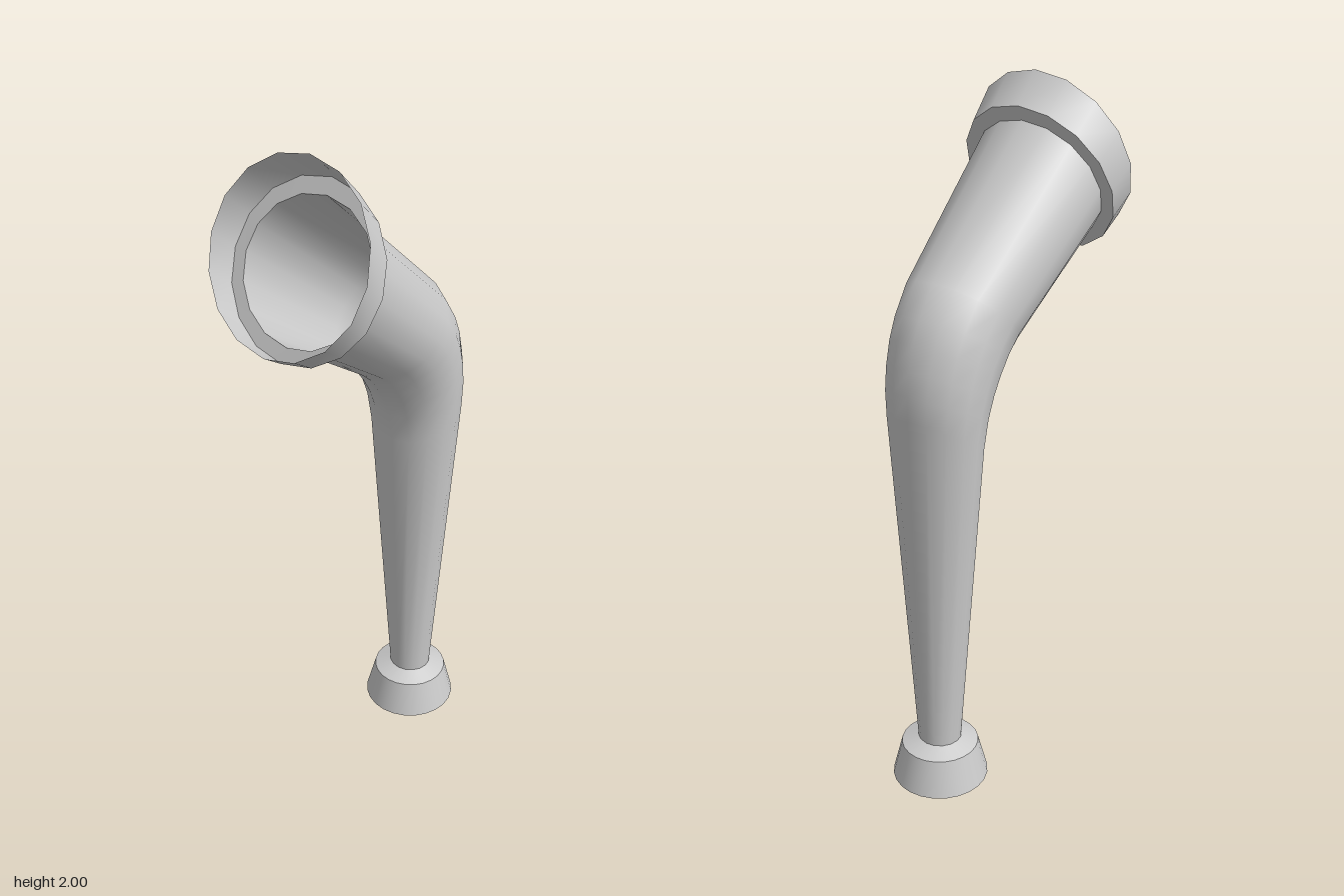
import * as THREE from 'three';

const SIDES = 16;
const grey = new THREE.MeshStandardMaterial({ color: 0xcccccc });
const sheet = new THREE.MeshStandardMaterial({ color: 0xcccccc, side: THREE.DoubleSide });

// Smooth skin through elliptical rings, each given by its front point (z, y),
// its back point (z, y) and its half width in x.
function loft(rings) {
  const positions = [], index = [];
  rings.forEach(([fz, fy, bz, by, w], j) => {
    for (let i = 0; i < SIDES; i++) {
      const a = (i / SIDES) * Math.PI * 2, c = Math.cos(a);
      positions.push(
        Math.sin(a) * w,
        (fy + by) / 2 + (c * (fy - by)) / 2,
        (fz + bz) / 2 + (c * (fz - bz)) / 2
      );
      if (j < rings.length - 1) {
        const p = j * SIDES + i, q = j * SIDES + ((i + 1) % SIDES);
        index.push(p, q, q + SIDES, p, q + SIDES, p + SIDES);
      }
    }
  });
  const geometry = new THREE.BufferGeometry();
  geometry.setAttribute('position', new THREE.Float32BufferAttribute(positions, 3));
  geometry.setIndex(index);
  geometry.computeVertexNormals();
  return geometry;
}

export function createModel() {
  const model = new THREE.Group();
  const add = (parent, name, geometry, material) => {
    const mesh = new THREE.Mesh(geometry, material);
    mesh.name = name;
    parent.add(mesh);
    return mesh;
  };

  // Foot: tapered plug with a bevelled shoulder and a closed underside
  const foot = new THREE.Group();
  foot.name = 'foot';
  foot.position.z = -0.247;
  model.add(foot);
  add(foot, 'footWall', new THREE.CylinderGeometry(0.113, 0.141, 0.11, 24, 1, true), grey).position.y = 0.055;
  add(foot, 'footShoulder', new THREE.CylinderGeometry(0.06, 0.113, 0.02, 24, 1, true), grey).position.y = 0.12;
  add(foot, 'footBottom', new THREE.CircleGeometry(0.141, 24), grey).rotation.x = Math.PI / 2;

  // Pipe: widening tube that bends forward, open at the top
  add(model, 'pipe', loft([
    [-0.184, 0.13, -0.31, 0.13, 0.064],
    [-0.133, 1.04, -0.355, 1.18, 0.143],
    [-0.118, 1.13, -0.354, 1.25, 0.15],
    [-0.095, 1.19, -0.345, 1.316, 0.155],
    [-0.068, 1.235, -0.327, 1.385, 0.159],
    [-0.035, 1.28, -0.3, 1.445, 0.163],
    [0, 1.312, -0.244, 1.528, 0.167],
    [0.306, 1.53, 0.14, 1.877, 0.2]
  ]), sheet);

  // Collar: thin flaring band around the mouth
  const back = [0.325, 1.492, 0.12, 1.918, 0.237];
  const front = [0.39, 1.535, 0.2, 2, 0.247];
  add(model, 'collar', loft([back, front]), sheet);

  // Flat ring joining the collar to the pipe's end
  add(model, 'collarRing', loft([back, [0.306, 1.53, 0.14, 1.877, 0.2]]), sheet);

  return model;
}
